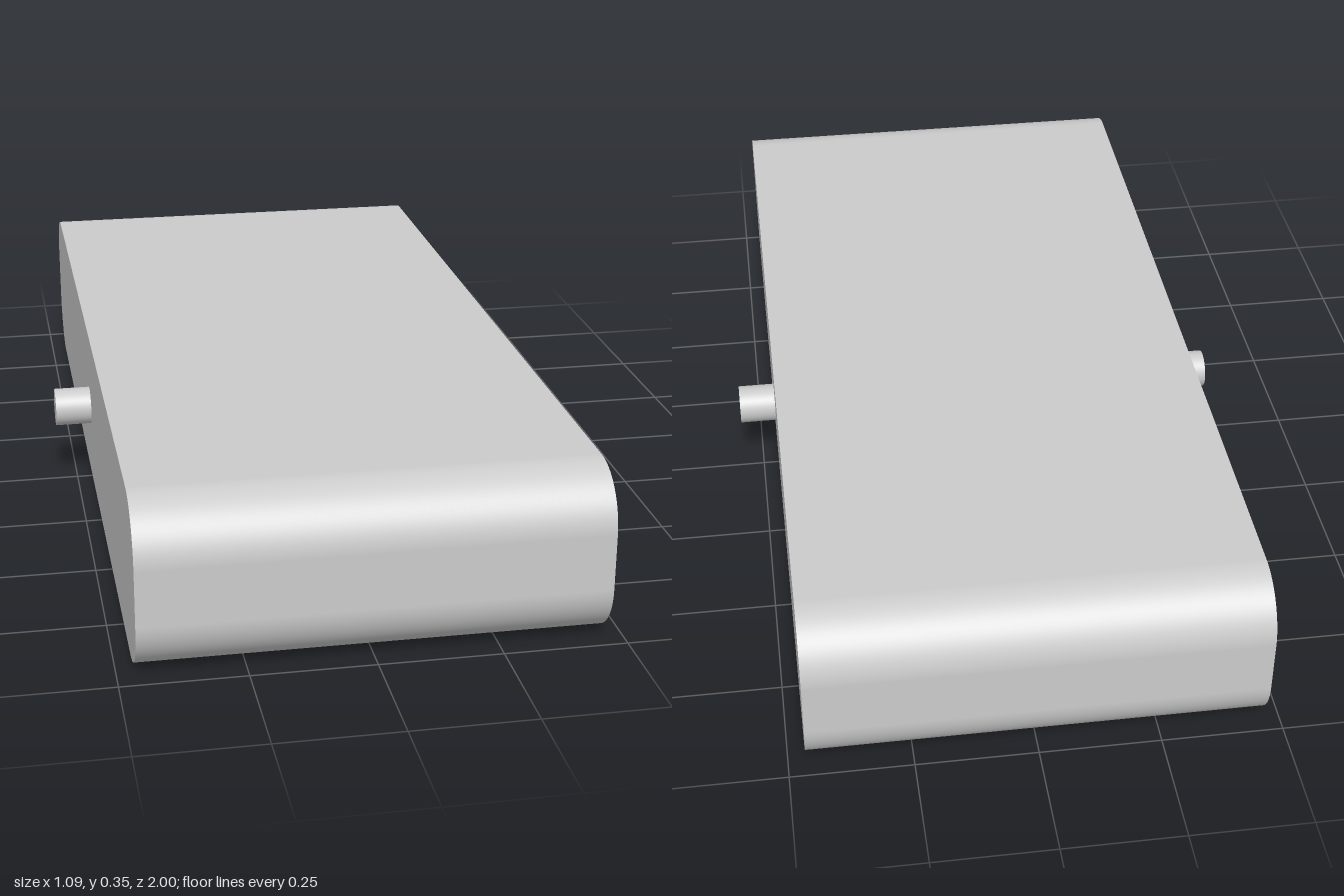
import * as THREE from 'three';

const HEIGHT = 0.355, LENGTH = 2, WIDTH = 0.93, CORNER = 0.12;
const PIN_RADIUS = 0.042, PIN_LENGTH = 0.08;

// Rounded-rectangle side profile, extruded across the width
function bodyGeometry() {
  const cx = LENGTH / 2 - CORNER, cy = HEIGHT / 2 - CORNER, q = Math.PI / 2;
  const shape = new THREE.Shape();
  [[cx, cy], [-cx, cy], [-cx, -cy], [cx, -cy]].forEach(([x, y], i) =>
    shape.absarc(x, y, CORNER, i * q, (i + 1) * q, false));
  shape.closePath();
  const geo = new THREE.ExtrudeGeometry(shape, { depth: WIDTH, bevelEnabled: false, curveSegments: 24 });

  // Smooth normals around the rim: point away from the inner core rectangle
  const pos = geo.attributes.position, nor = geo.attributes.normal;
  const n = new THREE.Vector3();
  for (let i = 0; i < pos.count; i++) {
    if (Math.abs(nor.getZ(i)) > 0.5) continue; // flat end faces
    const x = pos.getX(i), y = pos.getY(i);
    n.set(x - THREE.MathUtils.clamp(x, -cx, cx), y - THREE.MathUtils.clamp(y, -cy, cy), 0).normalize();
    nor.setXYZ(i, n.x, n.y, n.z);
  }
  return geo.translate(0, 0, -WIDTH / 2).rotateY(Math.PI / 2);
}

export function createModel() {
  const group = new THREE.Group();
  const material = new THREE.MeshStandardMaterial({ color: 0xcccccc });

  // Main block
  const body = new THREE.Mesh(bodyGeometry(), material);
  body.name = 'body';
  body.position.y = HEIGHT / 2;
  group.add(body);

  // Pivot pin on each side
  const pinGeo = new THREE.CylinderGeometry(PIN_RADIUS, PIN_RADIUS, PIN_LENGTH, 48).rotateZ(Math.PI / 2);
  for (const [name, side] of [['leftPin', 1], ['rightPin', -1]]) {
    const pin = new THREE.Mesh(pinGeo, material);
    pin.name = name;
    pin.position.set(side * (WIDTH + PIN_LENGTH) / 2, HEIGHT / 2, 0);
    group.add(pin);
  }
  return group;
}
